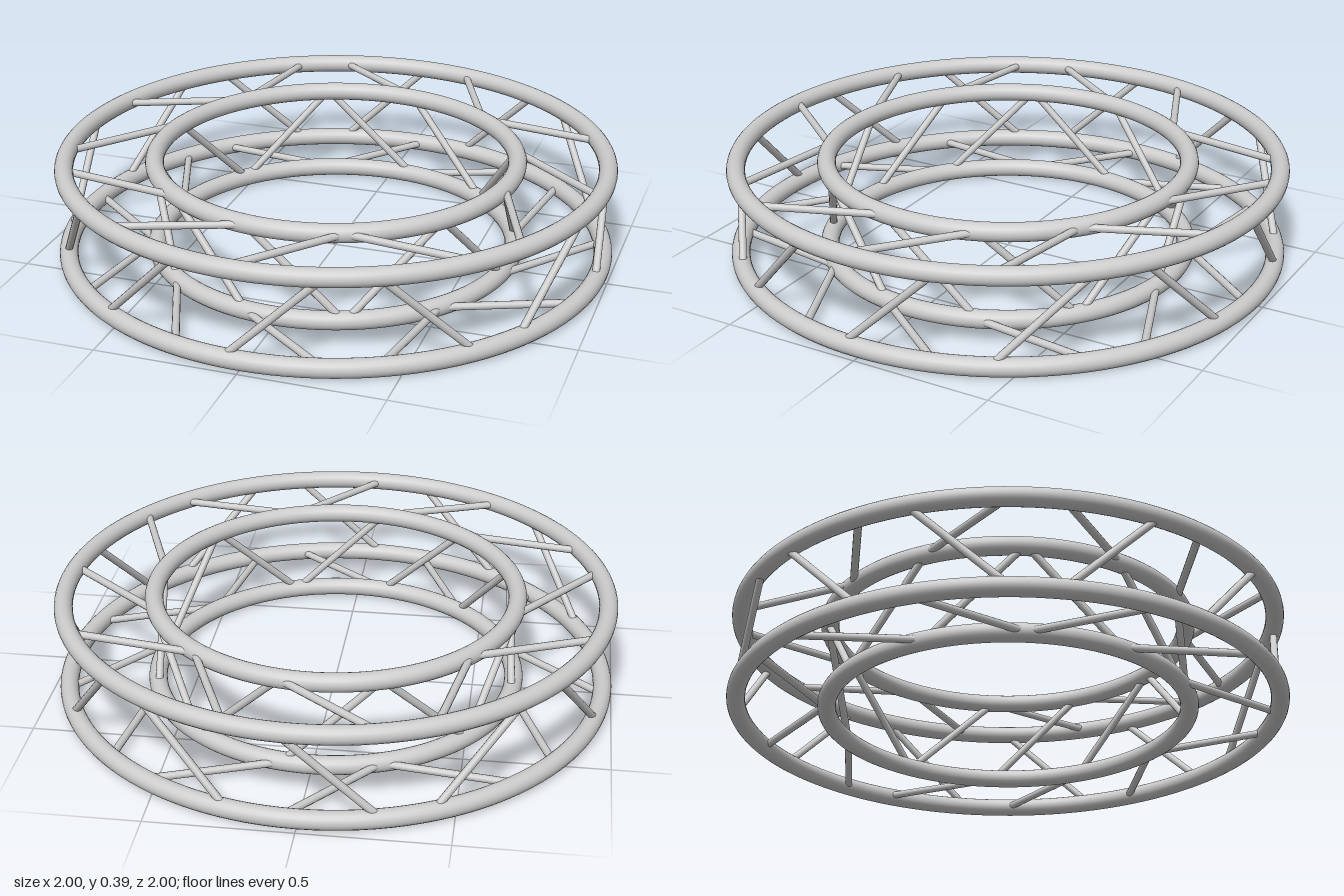
import * as THREE from 'three';

const OUTER = 0.967, INNER = 0.648, TUBE = 0.033;
const LOW = 0.034, HIGH = 0.355, BRACE = 0.0135;
const CELLS = 12;

// Which way the lacing of each cell leans
const LEAN = [1, 1, -1, -1, -1, 1, -1, -1, -1, 1, 1, -1];

// Point on a circle, with the angle in degrees from the back towards +x
function polar(radius, degrees, y) {
  const a = THREE.MathUtils.degToRad(degrees);
  return new THREE.Vector3(radius * Math.sin(a), y, -radius * Math.cos(a));
}

export function createModel() {
  const model = new THREE.Group();
  model.name = 'circularTruss';
  const material = new THREE.MeshStandardMaterial({ color: 0xcccccc });

  // Four main chords
  function ring(name, radius, y) {
    const mesh = new THREE.Mesh(new THREE.TorusGeometry(radius, TUBE, 20, 120), material);
    mesh.name = name;
    mesh.rotation.x = Math.PI / 2;
    mesh.position.y = y;
    model.add(mesh);
  }
  ring('lowerOuterRing', OUTER, LOW);
  ring('lowerInnerRing', INNER, LOW);
  ring('upperOuterRing', OUTER, HIGH);
  ring('upperInnerRing', INNER, HIGH);

  // Straight round brace between two points
  const unitBrace = new THREE.CylinderGeometry(BRACE, BRACE, 1, 12);
  const up = new THREE.Vector3(0, 1, 0);
  function brace(name, a, b) {
    const span = b.clone().sub(a);
    const mesh = new THREE.Mesh(unitBrace, material);
    mesh.name = name;
    mesh.position.copy(a).add(b).multiplyScalar(0.5);
    mesh.scale.y = span.length();
    mesh.quaternion.setFromUnitVectors(up, span.normalize());
    model.add(mesh);
  }

  // One diagonal on each of the four faces of every cell
  const ro = OUTER - 0.02, ri = INNER + 0.02;
  const y0 = LOW + 0.02, y1 = HIGH - 0.02;
  for (let k = 0; k < CELLS; k++) {
    const base = k * 360 / CELLS;
    const outerA = base - 15, outerB = base + 2.6;
    const innerA = base - 19, innerB = base + 7;
    const rising = LEAN[k] > 0;
    const inward = rising ? HIGH : LOW;
    const outward = rising ? LOW : HIGH;
    brace(rising ? 'upperBrace' : 'lowerBrace', polar(ro, outerA, inward), polar(ri, innerB, inward));
    brace(rising ? 'lowerBrace' : 'upperBrace', polar(ri, innerA, outward), polar(ro, outerB, outward));
    brace('outerBrace', polar(OUTER, outerA, rising ? y0 : y1), polar(OUTER, outerB, rising ? y1 : y0));
    brace('innerBrace', polar(INNER, innerA, rising ? y1 : y0), polar(INNER, innerB, rising ? y0 : y1));
  }
  return model;
}
